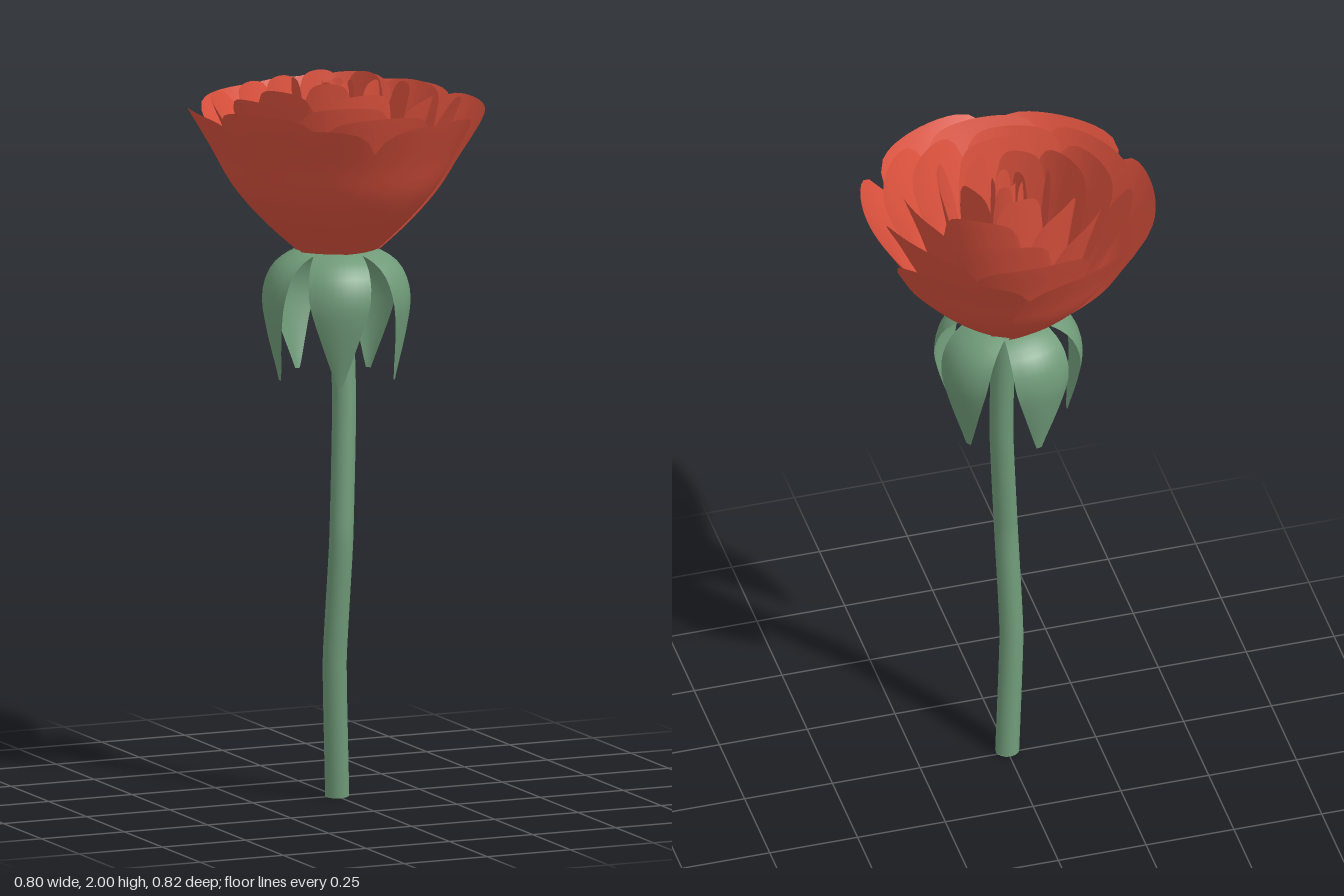
import * as THREE from 'three';

const red = new THREE.MeshStandardMaterial({ color: 0xda513d, side: THREE.DoubleSide });
const green = new THREE.MeshStandardMaterial({ color: 0x6f9a78, side: THREE.DoubleSide });
const BASE = 1.525;

// Curved sheet: u runs -1..1 across, v runs 0..1 from base to tip
function sheet(name, material, nu, nv, place) {
  const g = new THREE.PlaneGeometry(2, 1, nu, nv);
  const p = g.attributes.position;
  for (let i = 0; i < p.count; i++) {
    const [x, y, z] = place(p.getX(i), p.getY(i) + 0.5);
    p.setXYZ(i, x, y, z);
  }
  g.computeVertexNormals();
  const m = new THREE.Mesh(g, material);
  m.name = name;
  return m;
}

const curve2 = (pts) => new THREE.SplineCurve(pts.map(([a, b]) => new THREE.Vector2(a, b)));
const petalLine = curve2([[0, 0], [0.28, 0.21], [0.54, 0.45], [0.74, 0.7], [1, 1]]);

// Petal wrapped around the flower axis with a rounded top; flat 1 makes it a straight panel
function petal(angle, ring) {
  const { rb, rt, top, half, swirl, flat } = ring;
  return sheet('petal', red, 14, 14, (u, v) => {
    const au = Math.abs(u);
    const s = v * (1 - 0.06 * au * au - 0.12 * au ** 6);
    const q = petalLine.getPoint(s);
    const w = half * (1 - 0.14 * v ** 5) * u;
    const a = angle + w;
    const cup = 0.05 * (rt - rb) * Math.sin(Math.PI * s) * (1 - u * u);
    const r = (rb + (rt - rb) * q.x + cup) * (1 + flat * (1 / Math.cos(w) - 1)) + swirl * u * (0.3 + v);
    return [r * Math.cos(a), BASE + (top - BASE) * q.y, r * Math.sin(a)];
  });
}

// Sepal that leaves the flower base flat and droops to a narrow tip
const sepalLine = curve2([[0, 1.525], [0.1, 1.525], [0.175, 1.48], [0.205, 1.4], [0.195, 1.3], [0.165, 1.165]]);
const sepalWidth = curve2([[0, 0.05], [0.2, 0.066], [0.45, 0.083], [0.65, 0.083], [0.85, 0.054], [1, 0.008]]);
function sepal(angle) {
  const c = Math.cos(angle), s = Math.sin(angle);
  return sheet('sepal', green, 8, 16, (u, v) => {
    const q = sepalLine.getPoint(v);
    const w = sepalWidth.getPoint(v).y * u;
    const r = q.x - 0.022 * u * u * Math.sin(Math.PI * v);
    return [r * c - w * s, q.y - 0.008 * u * u * (1 - v), r * s + w * c];
  });
}

export function createModel() {
  const model = new THREE.Group();
  model.name = 'flower';

  // Bent stem with soft kinks
  const path = new THREE.CatmullRomCurve3([
    [0, 0, 0.008], [-0.02, 0.38, 0.035], [-0.012, 0.72, 0.061],
    [0.01, 1.1, 0.032], [0.012, 1.515, 0]
  ].map((p) => new THREE.Vector3(...p)), false, 'catmullrom', 0.2);
  const stem = new THREE.Mesh(new THREE.TubeGeometry(path, 32, 0.033, 16), green);
  stem.name = 'stem';
  model.add(stem);
  const cap = new THREE.Mesh(new THREE.CircleGeometry(0.033, 16), green);
  cap.name = 'stemEnd';
  cap.rotation.x = Math.PI / 2;
  cap.position.set(0, 0.001, 0.008);
  model.add(cap);

  // Five sepals and the floor they form under the petals
  const calyx = new THREE.Group();
  calyx.name = 'calyx';
  for (let i = 0; i < 5; i++) calyx.add(sepal(Math.PI + 0.05 + (i * Math.PI * 2) / 5));
  const floor = new THREE.Mesh(new THREE.CylinderGeometry(0.1, 0.09, 0.012, 20), green);
  floor.name = 'flowerBase';
  floor.position.y = BASE;
  calyx.add(floor);
  model.add(calyx);

  // Petal rings from the outside in; start is in degrees
  const rings = [
    { name: 'outerPetals', n: 6, start: 8, rb: 0.112, rt: 0.4, top: 1.92, half: 0.64, swirl: 0.008, flat: 0.3 },
    { name: 'secondPetals', n: 6, start: 32, rb: 0.105, rt: 0.345, top: 1.94, half: 0.64, swirl: 0.008, flat: 0.3 },
    { name: 'thirdPetals', n: 6, start: -12, rb: 0.1, rt: 0.275, top: 1.96, half: 0.64, swirl: 0.012, flat: 0.3 },
    { name: 'fourthPetals', n: 5, start: 20, rb: 0.09, rt: 0.195, top: 1.98, half: 0.7, swirl: 0.012, flat: 0.5 },
    { name: 'innerPetals', n: 5, start: -20, rb: 0.068, rt: 0.115, top: 2, half: 0.7, swirl: 0.005, flat: 0.8 },
    { name: 'budPetals', n: 5, start: 10, rb: 0.045, rt: 0.041, top: 1.99, half: 0.7, swirl: 0.004, flat: 0.8 },
    { name: 'heartPetals', n: 1, start: -110, rb: 0.022, rt: 0.026, top: 1.985, half: 1.5, swirl: 0.007, flat: 0 }
  ];
  for (const ring of rings) {
    const group = new THREE.Group();
    group.name = ring.name;
    for (let i = 0; i < ring.n; i++) {
      group.add(petal(THREE.MathUtils.degToRad(ring.start + (i * 360) / ring.n), ring));
    }
    model.add(group);
  }
  return model;
}
